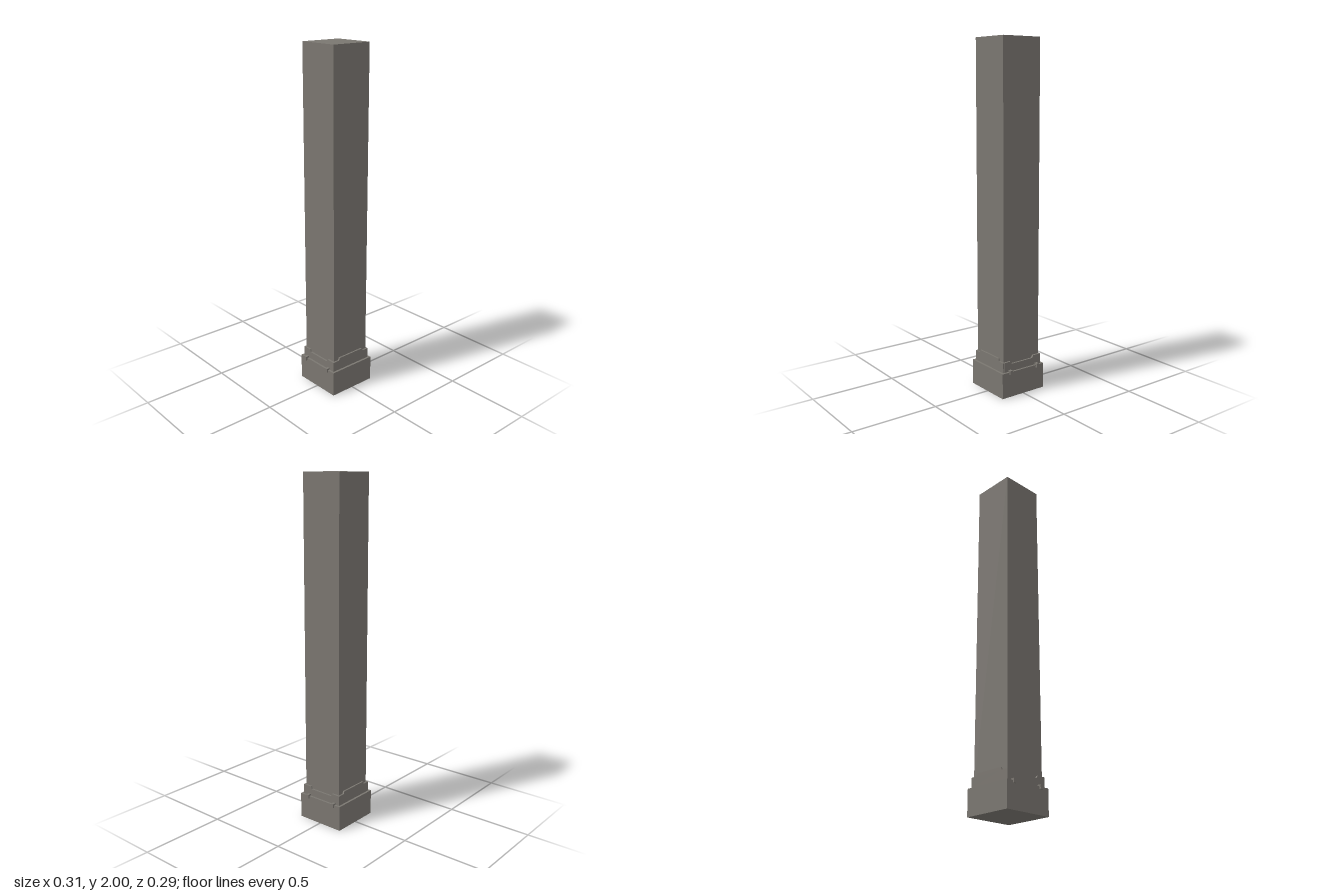
import * as THREE from 'three';

export function createModel() {
  const group = new THREE.Group();
  group.name = 'column';
  const stone = new THREE.MeshStandardMaterial({ color: 0x7a7670 });
  stone.name = 'greyStone';

  function add(name, geometry, x, y, z, turn = 0) {
    const mesh = new THREE.Mesh(geometry, stone);
    mesh.name = name;
    mesh.position.set(x, y, z);
    mesh.rotation.y = turn;
    group.add(mesh);
  }

  // Plain square base and tall shaft
  const baseTop = 0.147;
  add('base', new THREE.BoxGeometry(0.295, baseTop, 0.295), 0, baseTop / 2, 0);
  add('shaft', new THREE.BoxGeometry(0.25, 2 - baseTop, 0.25), 0, (2 + baseTop) / 2, 0);

  // Collar plate whose top edge steps up or down in the middle
  function collarPlate(halfWidth, outer, inner, middleTop, depth) {
    const edgeTop = 0.205;
    const shape = new THREE.Shape([
      [-halfWidth, baseTop], [halfWidth, baseTop], [halfWidth, edgeTop],
      [outer, edgeTop], [inner, middleTop], [-inner, middleTop],
      [-outer, edgeTop], [-halfWidth, edgeTop],
    ].map(([x, y]) => new THREE.Vector2(x, y)));
    return new THREE.ExtrudeGeometry(shape, { depth, bevelEnabled: false });
  }
  const raised = collarPlate(0.135, 0.094, 0.087, 0.22, 0.011);
  const dipped = collarPlate(0.124, 0.082, 0.073, 0.19, 0.0115);
  add('frontCollar', raised, 0, 0, 0.1235);
  add('backCollar', raised, 0, 0, -0.1235, Math.PI);
  add('leftCollar', dipped, 0.124, 0, 0, Math.PI / 2);
  add('rightCollar', dipped, -0.124, 0, 0, -Math.PI / 2);

  // Small pegs overhanging the base on both sides
  for (const side of [1, -1]) {
    for (const z of [-0.1, 0.09]) {
      add(side > 0 ? 'leftPeg' : 'rightPeg',
        new THREE.BoxGeometry(0.023, 0.024, 0.017), side * 0.1455, 0.145, z);
    }
  }
  return group;
}
